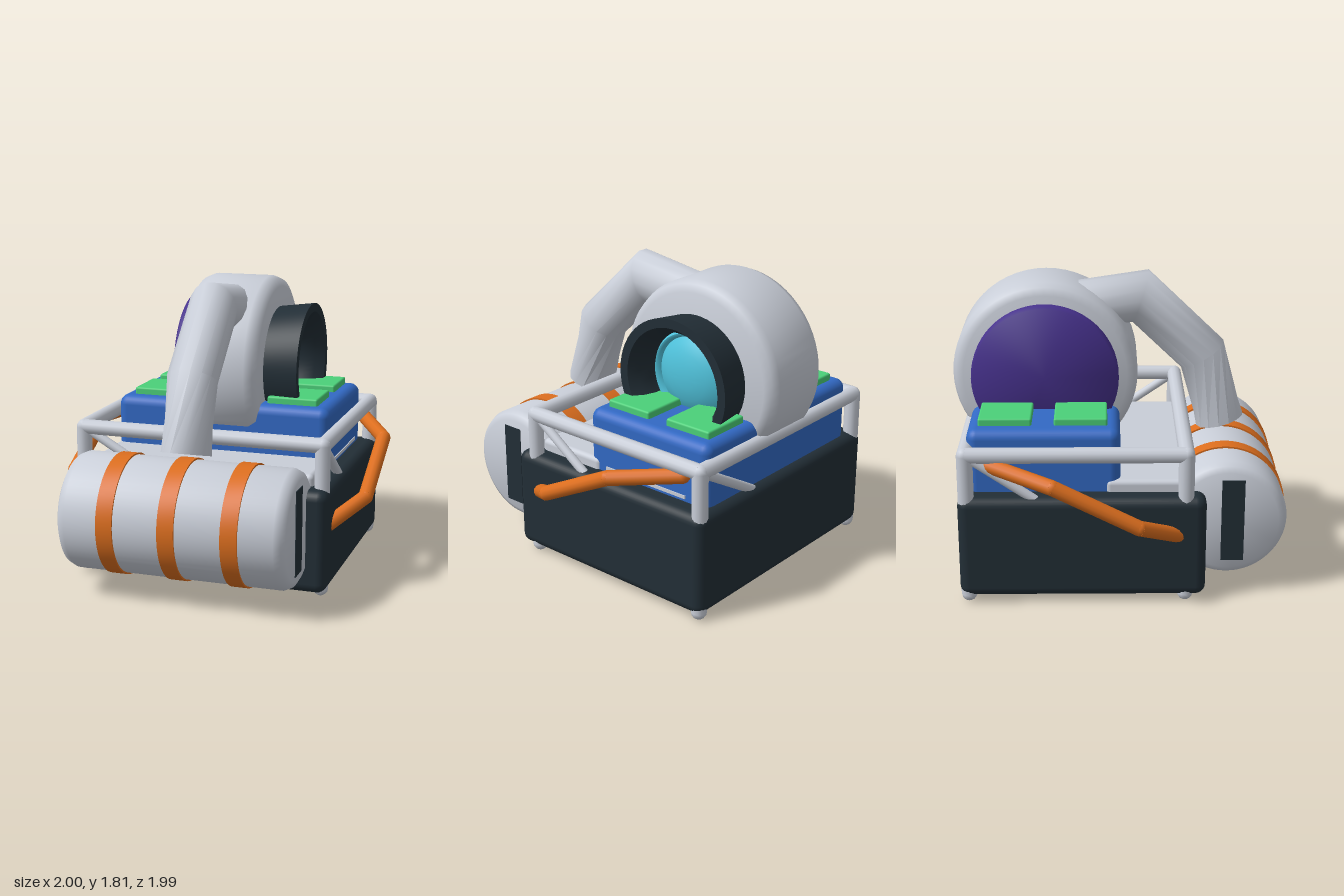
import * as THREE from 'three';
import { RoundedBoxGeometry } from 'three/addons/geometries/RoundedBoxGeometry.js';
import { toCreasedNormals } from 'three/addons/utils/BufferGeometryUtils.js';

const mat = (name, color, side = THREE.FrontSide) => {
  const m = new THREE.MeshStandardMaterial({ color, side });
  m.name = name;
  return m;
};
const V = (x, y, z) => new THREE.Vector3(x, y, z);

export function createModel() {
  const model = new THREE.Group();
  model.name = 'backpackBlower';
  const grey = mat('lightGrey', 0xc9ced8, THREE.DoubleSide);
  const dark = mat('darkSlate', 0x222e36);
  const blue = mat('blue', 0x3269c4);
  const green = mat('green', 0x4bd079);
  const orange = mat('orange', 0xdc6e1e);
  const purple = mat('purple', 0x46318c);
  const teal = mat('teal', 0x50c3dc);

  const add = (name, geo, material, parent = model) => {
    const mesh = new THREE.Mesh(geo, material);
    mesh.name = name;
    parent.add(mesh);
    return mesh;
  };
  // Rounded box given by its limits on each axis
  const box = (name, material, [x0, x1], [y0, y1], [z0, z1], r) =>
    add(name, new RoundedBoxGeometry(x1 - x0, y1 - y0, z1 - z0, 3, r), material)
      .position.set((x0 + x1) / 2, (y0 + y1) / 2, (z0 + z1) / 2);
  // Solid of revolution about the x axis, profile as [radius, x]
  const turned = (name, material, profile, y, z, crease = 0.9) => {
    const lathe = new THREE.LatheGeometry(profile.map(([r, x]) => new THREE.Vector2(r, x)), 56);
    add(name, toCreasedNormals(lathe.rotateZ(-Math.PI / 2), crease), material).position.set(0, y, z);
  };
  // Straight pipes with ball joints along a path
  const pipe = (name, material, points, r) => {
    const group = new THREE.Group();
    group.name = name;
    points.forEach((p, i) => {
      add('joint', new THREE.SphereGeometry(r, 12, 8), material, group).position.copy(p);
      if (!i) return;
      const d = p.clone().sub(points[i - 1]);
      const rod = add('rod', new THREE.CylinderGeometry(r, r, d.length(), 12), material, group);
      rod.position.copy(p).addScaledVector(d, -0.5);
      rod.quaternion.setFromUnitVectors(V(0, 1, 0), d.normalize());
    });
    model.add(group);
  };

  // Base, deck, engine body and pads
  box('base', dark, [-0.81, 0.81], [0.04, 0.665], [-0.94, 0.505], 0.06);
  box('deck', grey, [-0.7, 0.7], [0.6, 0.735], [-0.08, 0.39], 0.03);
  box('body', blue, [-0.69, 0.69], [0.55, 1.04], [-0.885, 0.005], 0.06);
  add('bodyTrim', new THREE.BoxGeometry(0.008, 0.02, 0.6), grey).position.set(0.692, 0.692, -0.43);
  for (const s of [-1, 1]) {
    for (const z of [-0.225, -0.665]) {
      const pad = add('pad', new RoundedBoxGeometry(0.32, 0.06, 0.31, 2, 0.012), green);
      pad.position.set(s * 0.44, 1.053, z);
    }
  }

  // Fan casing, back disc and air intake
  turned('fanCasing', grey, [[0, -0.25], [0.49, -0.25], [0.535, -0.23], [0.555, -0.18],
    [0.555, 0.18], [0.535, 0.23], [0.49, 0.25], [0, 0.25]], 1.23, -0.44);
  turned('fanDisc', purple, [[0, -0.315], [0.425, -0.315], [0.44, -0.3], [0.44, -0.24], [0, -0.24]], 1.23, -0.44);
  turned('intakeRing', dark, [[0.36, 0.24], [0.39, 0.47], [0.335, 0.47], [0.295, 0.41],
    [0.275, 0.34], [0.27, 0.24]], 1.23, -0.44, 0.8);
  turned('intakeDome', teal, [[0.275, 0.25], [0.275, 0.29], [0.26, 0.31], [0.245, 0.305], [0.235, 0.28],
    [0.2, 0.305], [0.14, 0.332], [0.07, 0.346], [0, 0.35]], 1.23, -0.44);

  // Tank lying across the front, with straps and end plates
  turned('tank', grey, [[0, -0.69], [0.3, -0.69], [0.335, -0.67], [0.353, -0.63],
    [0.353, 0.63], [0.335, 0.67], [0.3, 0.69], [0, 0.69]], 0.475, 0.635);
  for (const x of [-0.375, 0, 0.375]) {
    turned('tankStrap', orange, [[0.34, x - 0.05], [0.363, x - 0.05], [0.363, x + 0.05], [0.34, x + 0.05]], 0.475, 0.635);
  }
  for (const s of [-1, 1]) {
    add('tankEndPlate', new THREE.BoxGeometry(0.008, 0.51, 0.135), dark).position.set(s * 0.69, 0.475, 0.665);
  }

  // Tubular frame with diagonal braces
  const X = 0.755, Y = 0.917, Z0 = -0.888, Z1 = 0.385;
  const corners = [V(-X, Y, Z1), V(X, Y, Z1), V(X, Y, Z0), V(-X, Y, Z0)];
  pipe('frameRail', grey, [...corners, corners[0]], 0.047);
  corners.forEach((c, i) => {
    pipe('framePost', grey, [V(c.x, 0.047, c.z), c], 0.047);
    const next = corners[(i + 1) % 4];
    const foot = c.clone().lerp(next, 0.5).setY(0.48);
    pipe('frameBrace', grey, [c, foot], 0.028);
  });

  // Side handles
  for (const s of [-1, 1]) {
    pipe('handle', orange, [V(s * 0.77, 0.42, 0.35), V(s * 0.955, 0.55, 0.11),
      V(s * 0.955, 0.8, -0.38), V(s * 0.74, 0.85, -0.75)], 0.045);
  }

  // Duct from casing to tank: rings at mitred bends, the last ring twisted
  const path = [[1.59, -0.3], [1.655, 0.135], [1.29, 0.515], [0.865, 0.63]];
  const N = 14, R = 0.15, pos = [], index = [];
  const dir = (i) => Math.atan2(path[i + 1][0] - path[i][0], path[i + 1][1] - path[i][1]);
  path.forEach(([y, z], i) => {
    const a = dir(Math.max(i - 1, 0)), b = dir(Math.min(i, path.length - 2));
    const mid = (a + b) / 2, stretch = R / Math.cos((b - a) / 2);
    const twist = i === path.length - 1 ? 1.0 : 0;
    for (let k = 0; k < N; k++) {
      const t = (k / N) * Math.PI * 2 + twist;
      const u = Math.sin(t) * stretch;
      pos.push(Math.cos(t) * R, y + u * Math.cos(mid), z - u * Math.sin(mid));
      if (i) {
        const p = (i - 1) * N + k, q = (i - 1) * N + (k + 1) % N;
        index.push(p, p + N, q, q, p + N, q + N);
      }
    }
  });
  // End cap of the duct
  pos.push(0, ...path[3]);
  for (let k = 0; k < N; k++) index.push(3 * N + k, 4 * N, 3 * N + (k + 1) % N);
  const duct = new THREE.BufferGeometry();
  duct.setAttribute('position', new THREE.Float32BufferAttribute(pos, 3));
  duct.setIndex(index);
  // Keep the winding outward whichever way the rings run
  const [A, B, C] = [0, N, 1].map((i) => V(...pos.slice(i * 3, i * 3 + 3)));
  if (B.sub(A).cross(C.sub(A)).dot(V(1, 0, 0)) < 0) {
    for (let i = 0; i < index.length; i += 3) [index[i], index[i + 1]] = [index[i + 1], index[i]];
    duct.setIndex(index);
  }
  add('duct', toCreasedNormals(duct, 1.0), grey);

  return model;
}
